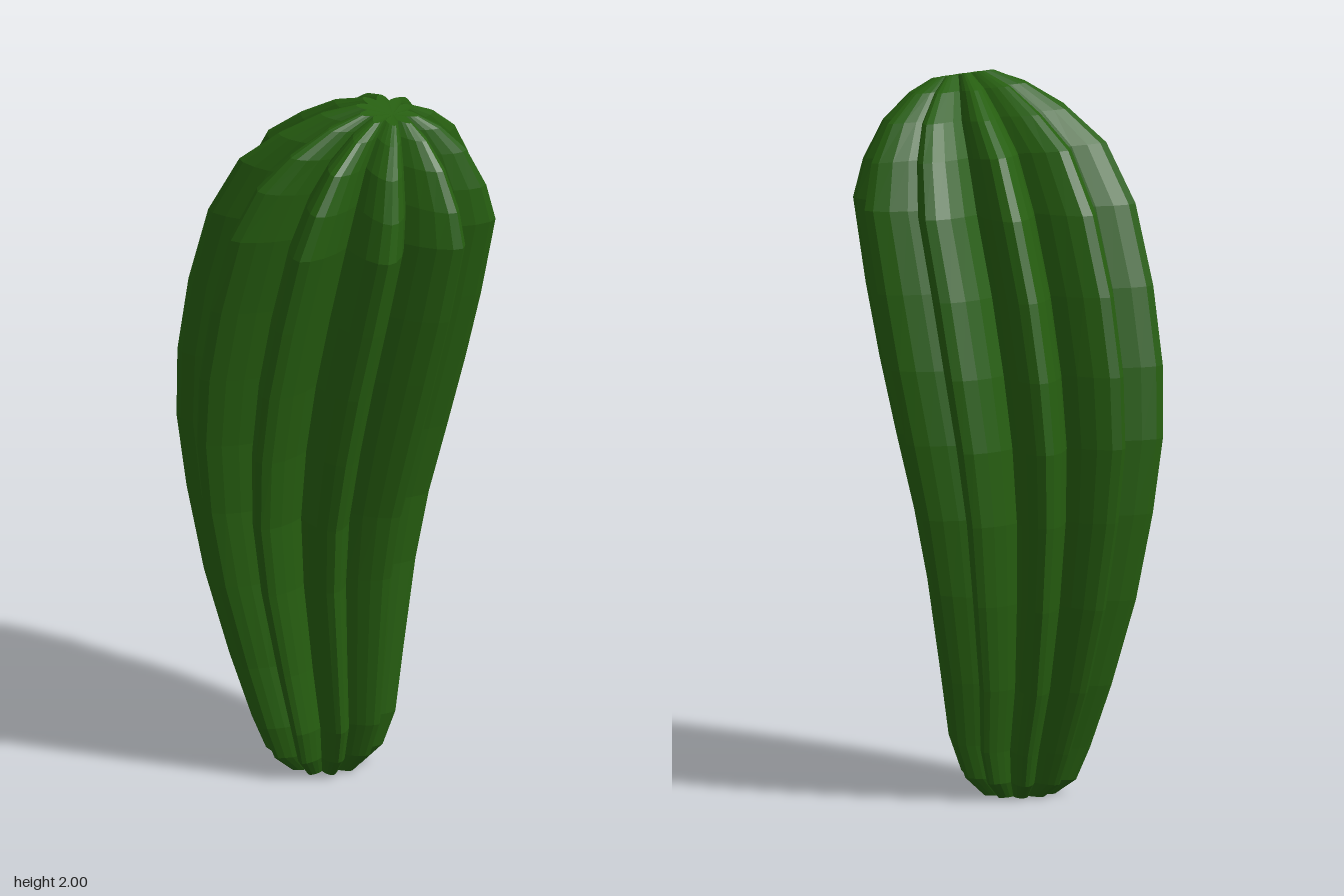
import * as THREE from 'three';

// Cross-sections from base to crown: [left x, left y, right x, right y, half depth]
const SECTIONS = [
  [-0.14, 0.00, 0.06, 0.00, 0.10],
  [-0.20, 0.04, 0.12, 0.06, 0.155],
  [-0.24, 0.13, 0.155, 0.16, 0.19],
  [-0.31, 0.31, 0.172, 0.34, 0.228],
  [-0.38, 0.55, 0.195, 0.60, 0.285],
  [-0.43, 0.80, 0.23, 0.79, 0.325],
  [-0.458, 1.01, 0.29, 1.00, 0.357],
  [-0.45, 1.21, 0.35, 1.21, 0.376],
  [-0.41, 1.43, 0.405, 1.41, 0.38],
  [-0.34, 1.65, 0.457, 1.64, 0.375],
  [-0.24, 1.82, 0.435, 1.74, 0.33],
  [-0.12, 1.905, 0.385, 1.85, 0.26],
  [0.00, 1.97, 0.325, 1.925, 0.165],
  [0.10, 2.00, 0.27, 1.965, 0.085],
];
const RIBS = 10;
// Half a rib, as [outward, sideways], from its valley to its tip
const FLANK = [[0.62, 0.2], [0.75, 0.175], [0.87, 0.13], [0.965, 0.065], [1, 0]];

// Outline of a unit cross-section with all its ribs
function ribbedOutline() {
  const rib = [
    ...FLANK.map(([u, v]) => [u, -v]),
    ...FLANK.slice(1, -1).reverse(),
  ];
  const outline = [];
  for (let k = 0; k < RIBS; k++) {
    const a = (k / RIBS) * Math.PI * 2, c = Math.cos(a), s = Math.sin(a);
    for (const [u, v] of rib) outline.push([u * c - v * s, u * s + v * c]);
  }
  return outline;
}

function createBodyGeometry() {
  const outline = ribbedOutline(), n = outline.length;
  const positions = [], index = [];

  // Leaning rings
  for (const [lx, ly, rx, ry, depth] of SECTIONS) {
    for (const [u, w] of outline) {
      const t = (u + 1) / 2;
      positions.push(lx + (rx - lx) * t, ly + (ry - ly) * t, (w * depth) / 0.951);
    }
  }
  for (let i = 0; i < SECTIONS.length - 1; i++) {
    for (let j = 0; j < n; j++) {
      const a = i * n + j, b = i * n + ((j + 1) % n);
      index.push(a, a + n, b, b, a + n, b + n);
    }
  }

  // Flat base and dimpled crown
  const base = positions.length / 3, crown = base + 1;
  positions.push(-0.04, 0.0, 0, 0.205, 1.975, 0);
  const last = (SECTIONS.length - 1) * n;
  for (let j = 0; j < n; j++) {
    const k = (j + 1) % n;
    index.push(base, j, k, crown, last + k, last + j);
  }

  const geometry = new THREE.BufferGeometry();
  geometry.setAttribute('position', new THREE.Float32BufferAttribute(positions, 3));
  geometry.setIndex(index);
  geometry.computeVertexNormals();
  return geometry;
}

export function createModel() {
  const group = new THREE.Group();
  group.name = 'cactus';
  const green = new THREE.MeshStandardMaterial({ color: 0x265e10 });
  green.name = 'cactus green';
  green.flatShading = true;

  const body = new THREE.Mesh(createBodyGeometry(), green);
  body.name = 'ribbedBody';
  group.add(body);
  return group;
}
